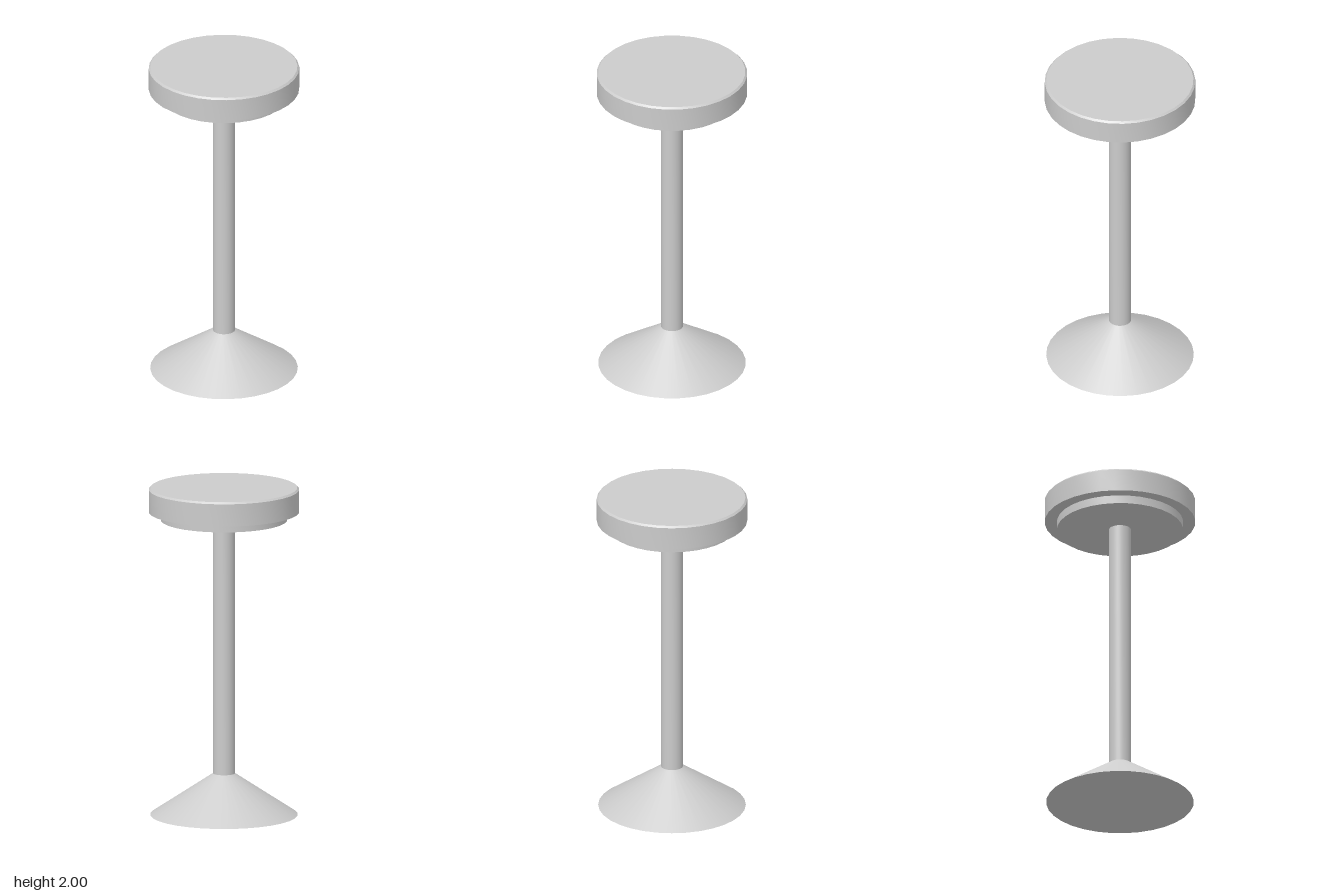
import * as THREE from 'three';
import { toCreasedNormals } from 'three/addons/utils/BufferGeometryUtils.js';

const SIDES = 32;
const material = new THREE.MeshStandardMaterial({ color: 0xcccccc });

// Closed round part from a [radius, height] profile, listed bottom to top
function turned(name, profile) {
  const points = profile.map(([r, y]) => new THREE.Vector2(r, y));
  const geometry = toCreasedNormals(new THREE.LatheGeometry(points, SIDES), Math.PI / 6);
  const mesh = new THREE.Mesh(geometry, material);
  mesh.name = name;
  return mesh;
}

export function createModel() {
  const stool = new THREE.Group();
  stool.name = 'barStool';

  stool.add(
    // Flared foot
    turned('base', [[0, 0], [0.443, 0], [0.066, 0.252], [0, 0.252]]),
    // Central column
    turned('post', [[0, 0.25], [0.066, 0.25], [0.066, 1.81], [0, 1.81]]),
    // Smaller disc beneath the cushion
    turned('seatPlate', [[0, 1.802], [0.379, 1.802], [0.379, 1.86], [0, 1.86]]),
    // Cushion with a narrow bevelled top edge
    turned('seat', [[0, 1.853], [0.452, 1.853], [0.452, 1.989], [0.441, 2], [0, 2]])
  );

  return stool;
}
